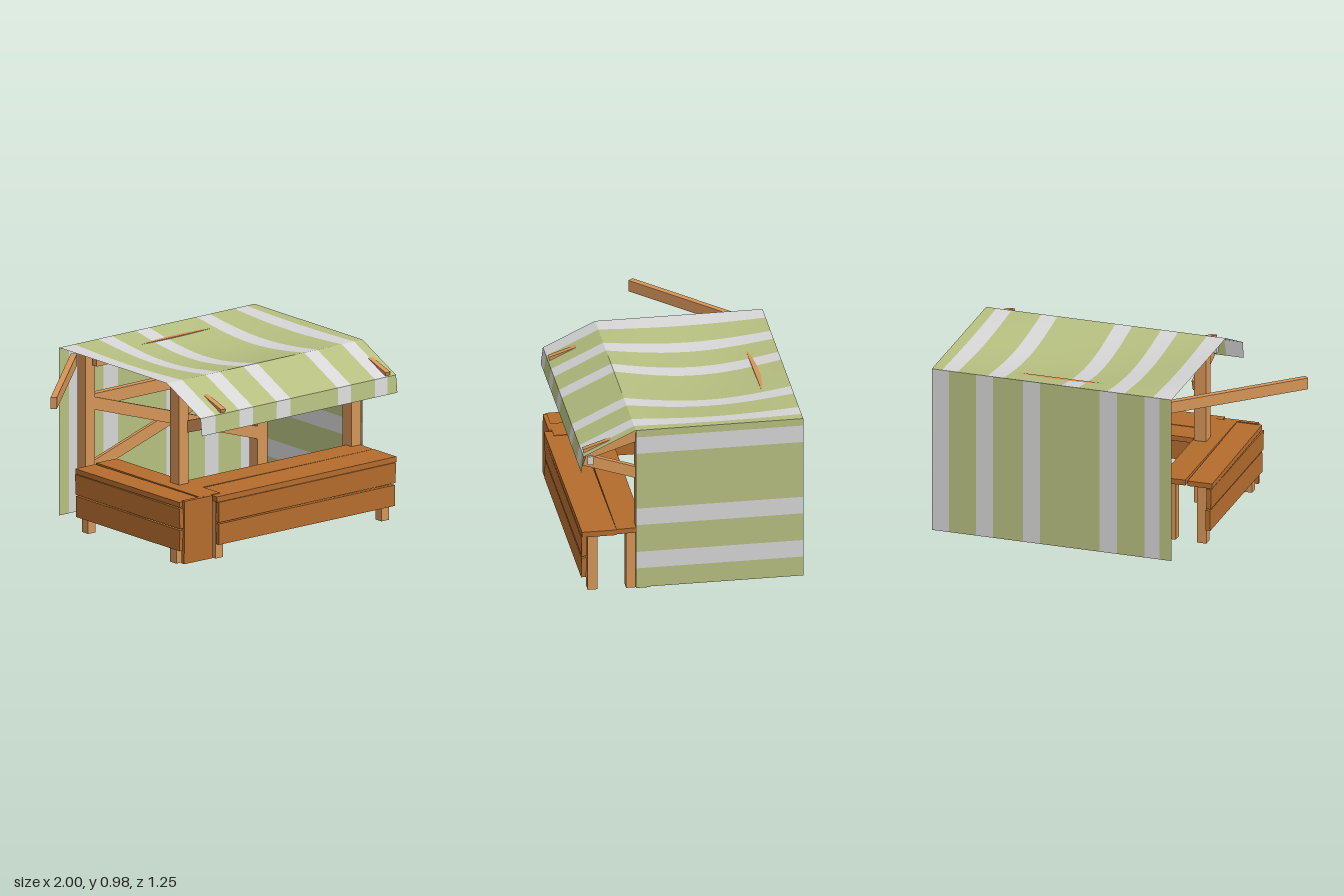
import * as THREE from 'three';

const material = (name, color, side = THREE.FrontSide) => {
  const m = new THREE.MeshStandardMaterial({ color, side });
  m.name = name;
  return m;
};

export function createModel() {
  const stall = new THREE.Group();
  stall.name = 'marketStall';
  const green = material('greenCloth', 0xb6bf80, THREE.DoubleSide);
  const pale = material('paleCloth', 0xd6d6d6, THREE.DoubleSide);
  const darkWood = material('counterWood', 0xb46c2d);
  const lightWood = material('frameWood', 0xd59558);

  // Box given by its minimum and maximum corners
  function box(name, mat, [x0, y0, z0], [x1, y1, z1], rot = [0, 0, 0]) {
    const mesh = new THREE.Mesh(new THREE.BoxGeometry(x1 - x0, y1 - y0, z1 - z0), mat);
    mesh.position.set((x0 + x1) / 2, (y0 + y1) / 2, (z0 + z1) / 2);
    mesh.rotation.set(...rot);
    mesh.name = name;
    stall.add(mesh);
    return mesh;
  }

  // Straight beam between two points
  function beam(name, mat, from, to, width, height) {
    const a = new THREE.Vector3(...from), b = new THREE.Vector3(...to);
    const mesh = new THREE.Mesh(new THREE.BoxGeometry(width, height, a.distanceTo(b)), mat);
    mesh.position.copy(a).add(b).multiplyScalar(0.5);
    mesh.lookAt(b);
    mesh.name = name;
    stall.add(mesh);
  }

  // Striped sheet: point(s, t) gives the surface, pale stripes are ranges of s
  function cloth(name, s0, s1, stripes, point, rows = 1, cols = 1) {
    const group = new THREE.Group();
    group.name = name;
    const cuts = [...new Set([s0, ...stripes.flat(), s1])].sort((a, b) => a - b);
    for (let i = 0; i < cuts.length - 1; i++) {
      const mid = (cuts[i] + cuts[i + 1]) / 2;
      const isPale = stripes.some(([a, b]) => mid > a && mid < b);
      const geo = new THREE.PlaneGeometry(1, 1, cols, rows);
      const pos = geo.attributes.position;
      for (let k = 0; k < pos.count; k++) {
        const s = THREE.MathUtils.lerp(cuts[i], cuts[i + 1], pos.getX(k) + 0.5);
        pos.setXYZ(k, ...point(s, 0.5 - pos.getY(k)));
      }
      geo.computeVertexNormals();
      const mesh = new THREE.Mesh(geo, isPale ? pale : green);
      mesh.name = isPale ? 'paleStripe' : 'greenStripe';
      group.add(mesh);
    }
    stall.add(group);
  }

  // Canopy: sagging roof, sloped awning, valance, back and side curtains
  const L = -0.41, R = 1, B = -0.63, F = 0.315, TOP = 0.98;
  const roofStripes = [[L, -0.3], [-0.13, -0.03], [0.14, 0.24], [0.58, 0.675], [0.85, 0.94]];
  const sag = (x, t) => 0.06 * Math.sin(Math.PI * (x - L) / (R - L)) * Math.sin(Math.PI * t);
  cloth('roof', L, R, roofStripes, (x, t) => [x, TOP - sag(x, t), B + (F - B) * t], 12, 3);
  cloth('awning', L, R, roofStripes, (x, t) => [x, TOP - 0.14 * t, F + 0.295 * t]);
  cloth('valance', L, R, roofStripes, (x, t) => [x - 0.01 * t * (x > L && x < R ? 1 : 0), 0.84 - 0.1 * t, 0.61 + 0.012 * t]);
  cloth('backCurtain', L, R, [[-0.34, -0.25], [-0.09, 0.015], [0.365, 0.465], [0.64, 0.74], [0.9, R]],
    (x, t) => [x, TOP + (0.008 - TOP) * t, B]);
  cloth('sideCurtain', 0.008, TOP, [[0.125, 0.227], [0.393, 0.495], [0.835, 0.937]],
    (y, t) => [R, y, F + (B - F) * t]);

  // Four posts, with a pair of braces on each front post holding the awning rail
  for (const [x, braceX] of [[-0.285, -0.243], [0.958, 0.945]]) {
    box('frontPost', lightWood, [x - 0.035, 0, 0.235], [x + 0.035, 0.95, 0.312]);
    box('backPost', lightWood, [x - 0.035, 0.01, -0.58], [x + 0.035, 0.95, -0.51]);
    beam('upperBrace', lightWood, [braceX, 0.94, 0.27], [braceX, 0.833, 0.598], 0.033, 0.066);
    beam('lowerBrace', lightWood, [braceX, 0.688, 0.27], [braceX, 0.8, 0.598], 0.032, 0.066);
  }
  box('awningRail', pale, [-0.275, 0.775, 0.55], [0.975, 0.825, 0.583]);

  // Back frame: roof beam, lower rail and crossed braces
  box('backRoofBeam', lightWood, [-0.28, 0.885, -0.5], [0.96, 0.954, -0.465], [0, 0.01, 0.002]);
  box('backRail', lightWood, [-0.25, 0.635, -0.56], [0.92, 0.708, -0.52]);
  for (const s of [1, -1]) {
    beam('crossBrace', lightWood, [0.335 - 0.6, 0.465 + 0.195 * s, -0.535 + 0.012 * s],
      [0.335 + 0.6, 0.465 - 0.195 * s, -0.535 + 0.012 * s], 0.022, 0.07);
  }

  // Loose pole reaching out from the back corner
  beam('sidePole', lightWood, [-0.985, 0.905, 0.022], [-0.33, 0.905, -0.597], 0.035, 0.067);

  // Front counter: two top boards and two front boards
  box('frontCounterTop', darkWood, [-0.3, 0.338, 0.425], [0.995, 0.37, 0.62], [0, 0.003, 0]);
  box('frontCounterTop', darkWood, [-0.3, 0.342, 0.265], [0.99, 0.372, 0.42], [0.02, -0.003, 0]);
  box('frontCounterBoard', darkWood, [-0.285, 0.218, 0.592], [0.99, 0.336, 0.62], [0.02, 0, 0.001]);
  box('frontCounterBoard', darkWood, [-0.285, 0.088, 0.592], [0.985, 0.208, 0.62], [-0.02, 0, -0.002]);

  // Side counter: two top boards, two side boards and an end board
  box('sideCounterTop', darkWood, [-0.54, 0.34, -0.325], [-0.395, 0.37, 0.575], [0, 0.012, 0]);
  box('sideCounterTop', darkWood, [-0.39, 0.342, -0.33], [-0.24, 0.374, 0.575], [0, 0, -0.015]);
  box('sideCounterBoard', darkWood, [-0.54, 0.218, -0.33], [-0.513, 0.336, 0.585], [0, 0, 0.03]);
  box('sideCounterBoard', darkWood, [-0.535, 0.088, -0.33], [-0.508, 0.208, 0.58], [0, 0, -0.02]);
  box('sideCounterEnd', darkWood, [-0.513, 0.012, 0.57], [-0.31, 0.375, 0.594], [0, 0, -0.008]);

  // Counter legs
  const legs = [[0.945, 0.555], [0.955, 0.34], [-0.25, 0.555],
    [-0.485, 0.495], [-0.325, 0.495], [-0.48, -0.285], [-0.3, -0.285]];
  for (const [x, z] of legs) box('counterLeg', lightWood, [x - 0.027, 0, z - 0.027], [x + 0.027, 0.342, z + 0.027]);

  return stall;
}
